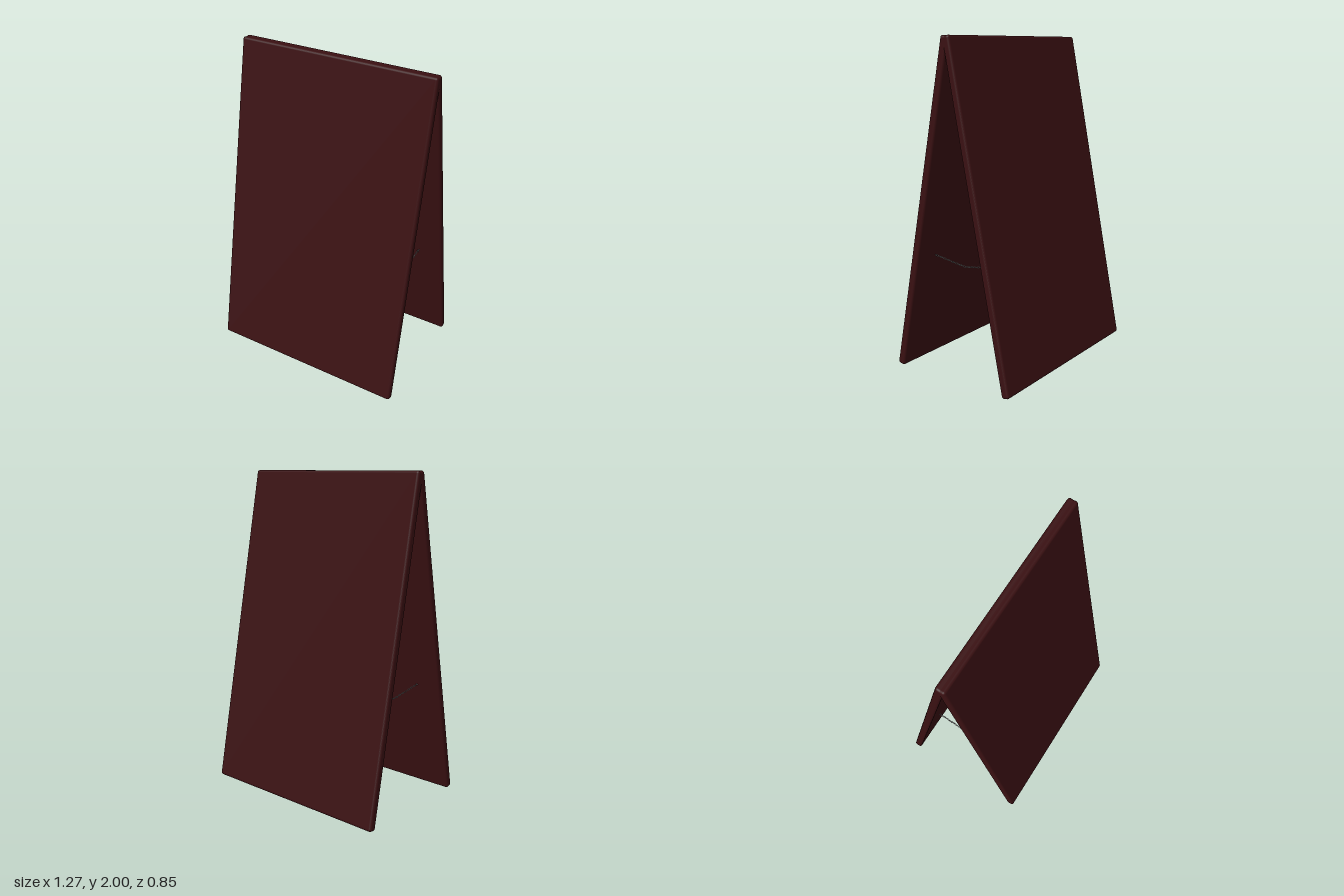
import * as THREE from 'three';
import { RoundedBoxGeometry } from 'three/addons/geometries/RoundedBoxGeometry.js';

const WIDTH = 1.27, LENGTH = 2.035, THICK = 0.05, TILT = 0.198;

export function createModel() {
  const model = new THREE.Group();
  model.name = 'foldingBoard';

  const wood = new THREE.MeshStandardMaterial({ color: 0x3a1012 });
  wood.name = 'darkMahogany';
  const metal = new THREE.MeshStandardMaterial({ color: 0x8c8c8c });
  metal.name = 'chainGrey';

  // Two leaning panels that meet along the top edge
  const panelGeometry = new RoundedBoxGeometry(WIDTH, LENGTH, THICK, 3, 0.015);
  for (const side of [1, -1]) {
    const panel = new THREE.Mesh(panelGeometry, wood);
    panel.name = side > 0 ? 'frontPanel' : 'backPanel';
    panel.position.set(0, 1, side * 0.204);
    panel.rotation.x = -side * TILT;
    model.add(panel);
  }

  // Chain link: a ring stretched along z
  const linkGeometry = new THREE.TorusGeometry(0.0045, 0.0016, 6, 12);
  linkGeometry.rotateY(Math.PI / 2);
  linkGeometry.scale(1, 1, 2);

  // A slightly sagging chain near each side, links turned alternately
  const linksPerHalf = 16;
  for (const side of [1, -1]) {
    const chain = new THREE.Group();
    chain.name = side > 0 ? 'leftChain' : 'rightChain';
    chain.position.x = side * 0.48;
    for (const half of [1, -1]) {
      const run = new THREE.Group();
      run.name = half > 0 ? 'frontChainRun' : 'backChainRun';
      for (let i = 0; i < linksPerHalf; i++) {
        const t = (i + 0.5) / linksPerHalf;
        const link = new THREE.Mesh(linkGeometry, metal);
        link.name = 'chainLink';
        link.position.set(0, 0.665 + 0.036 * t, half * 0.242 * t);
        link.rotation.set(-half * Math.atan2(0.036, 0.242), 0, Math.PI / 4 + (i % 2) * Math.PI / 2);
        run.add(link);
      }
      chain.add(run);
    }
    model.add(chain);
  }

  return model;
}
